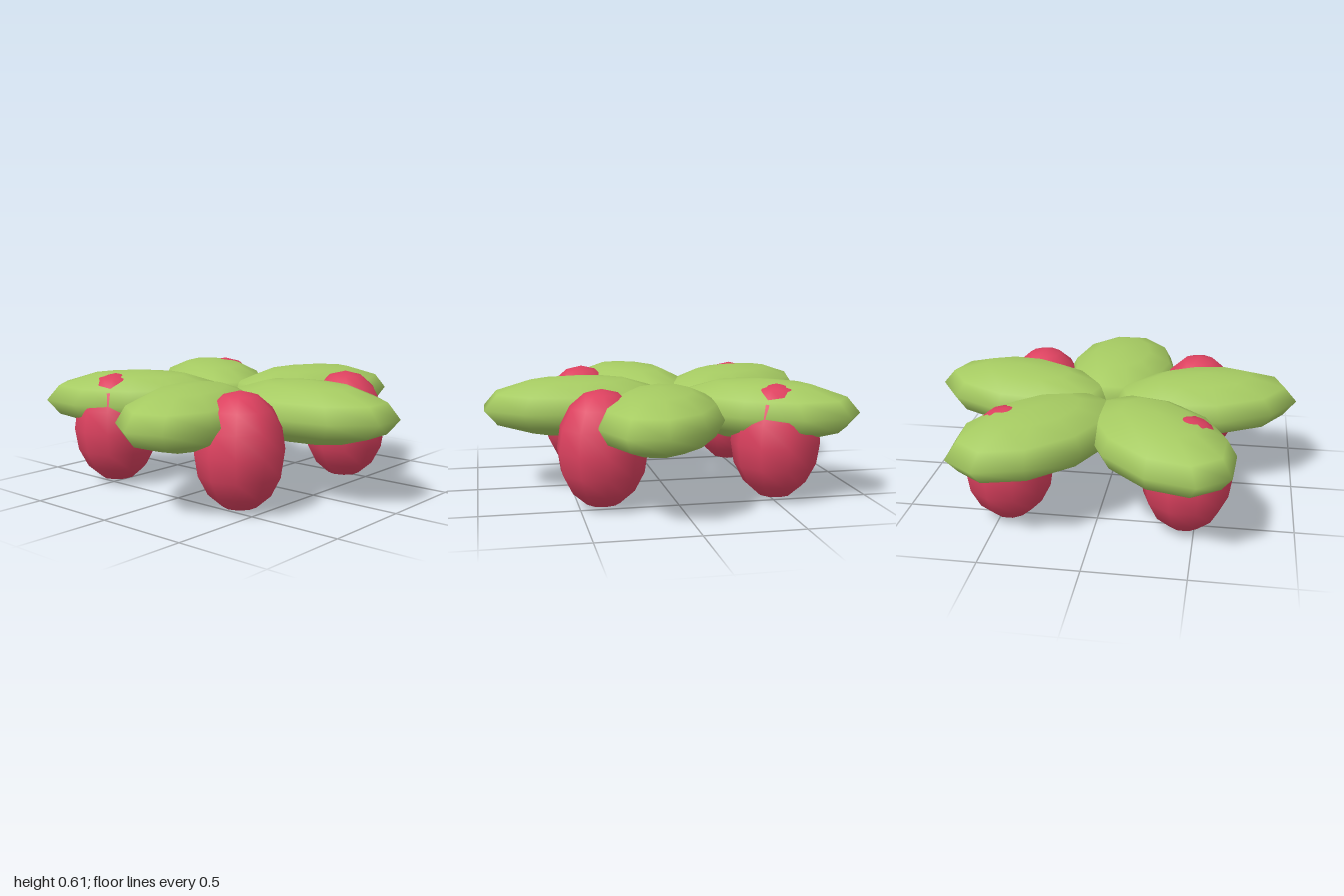
import * as THREE from 'three';

const CENTER_X = -0.068; // hub of the leaf rosette

export function createModel() {
  const group = new THREE.Group();
  const leafGreen = new THREE.MeshStandardMaterial({ color: 0xa6cb62 });
  const berryRed = new THREE.MeshStandardMaterial({ color: 0xdc415f });
  leafGreen.name = 'leafGreen';
  berryRed.name = 'berryRed';

  // Ten-sided ellipsoid with a flat edge, rather than a corner, facing x
  const ellipsoid = (rx, ry, rz, rows) =>
    new THREE.SphereGeometry(1, 10, rows).rotateY(Math.PI / 10).scale(rx, ry, rz);

  // Five flattened leaves fanned around the hub
  const leafGeometry = ellipsoid(0.526, 0.16, 0.317, 6).translate(0.518, 0, 0);
  for (let i = 0; i < 5; i++) {
    const leaf = new THREE.Mesh(leafGeometry, leafGreen);
    leaf.name = `leaf${i + 1}`;
    leaf.position.set(CENTER_X, 0.45, 0);
    leaf.rotation.y = (i * 2 * Math.PI) / 5;
    group.add(leaf);
  }

  // Four berries, just piercing the leaves from below
  const berryGeometry = ellipsoid(0.23, 0.3, 0.23, 8);
  for (const sx of [-1, 1]) {
    for (const sz of [-1, 1]) {
      const berry = new THREE.Mesh(berryGeometry, berryRed);
      berry.name = `${sz > 0 ? 'front' : 'back'}${sx > 0 ? 'Left' : 'Right'}Berry`;
      berry.position.set(CENTER_X + sx * 0.45, 0.304, sz * 0.45);
      group.add(berry);
    }
  }
  return group;
}
